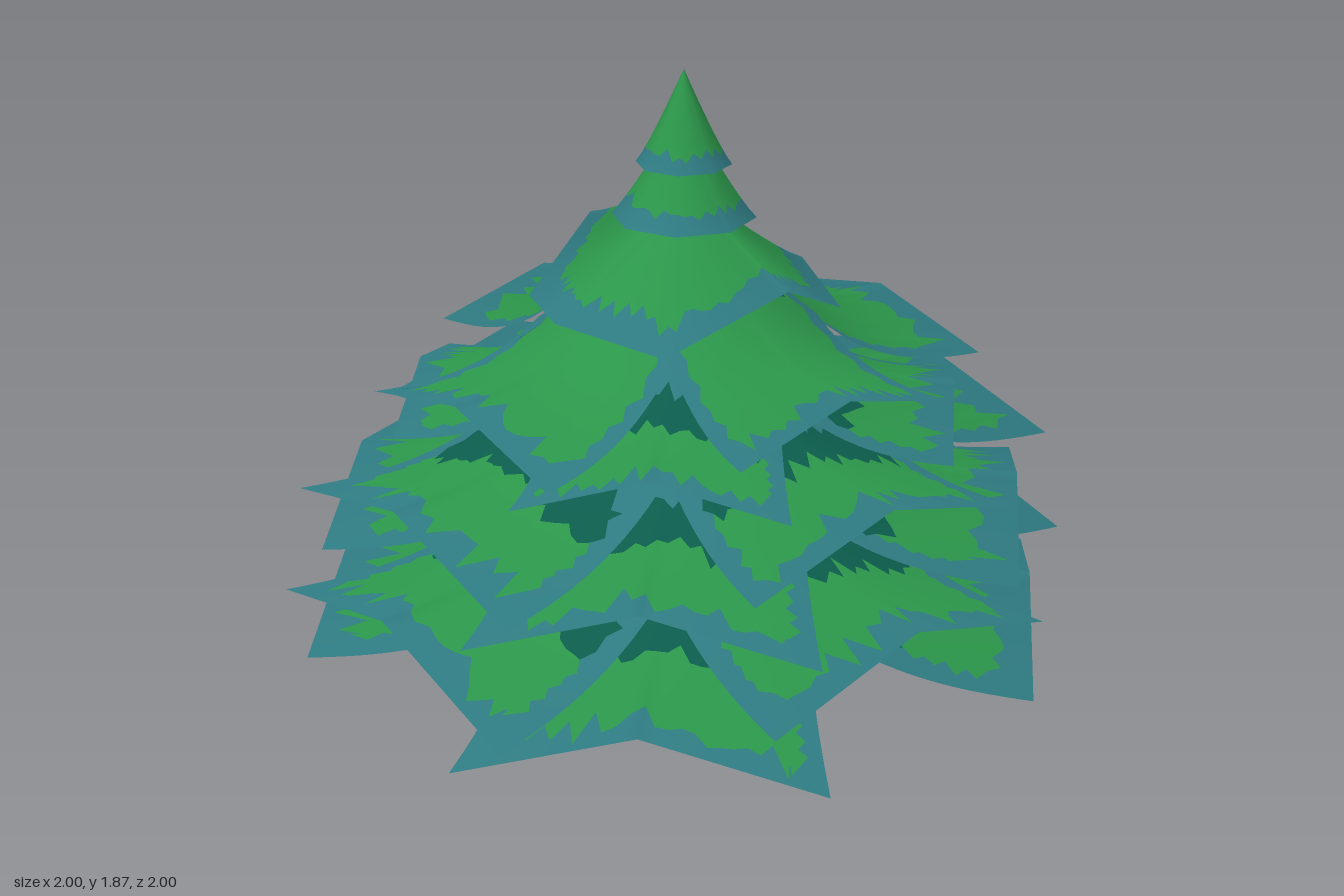
import * as THREE from 'three';

const paint = (name, color) => {
  const m = new THREE.MeshStandardMaterial({ color, side: THREE.DoubleSide });
  m.name = name;
  return m;
};
const GREEN = 0, TEAL = 1, DARK = 2;
const leafMaterials = [
  paint('needle green', 0x2b964a),
  paint('frosted teal', 0x2e7a81),
  paint('deep teal', 0x0b5c4c),
];
const bark = paint('bark brown', 0x64513d);

// Seeded random in -1..1
let seed = 7;
const rnd = () => {
  seed = (seed * 16807) % 2147483647;
  return (seed / 2147483647) * 2 - 1;
};

// Sag of a piece: exponents for the rise to the trunk and for the corner droop
const BOUGH = { rise: 2.6, droop: 6 };
const CAP = { rise: 1.15, droop: 1.15 };

// Colour bands from trunk to rim: [colour, end, jag, rows]
const BOUGH_BANDS = [
  [GREEN, 0.2, 0.015, 3], [DARK, 0.32, 0.015, 3], [TEAL, 0.48, 0.03, 3],
  [DARK, 0.63, 0.04, 3], [GREEN, 0.9, 0.06, 8], [TEAL, 1, 0, 2],
];
const UPPER_BANDS = [
  [TEAL, 0.2, 0.015, 3], [DARK, 0.32, 0.015, 3], [GREEN, 0.885, 0.055, 10], [TEAL, 1, 0, 2],
];
const CAP_BANDS = [[GREEN, 0.79, 0.06, 8], [TEAL, 1, 0, 2]];

// One folded bough pointing along +z, with jagged painted bands
function bough({ end, half, y, top, drop, bulge = 0, sag, bands, cols = 14, border = true }) {
  const rows = bands.reduce((n, b) => n + b[3], 0);
  const edge = Math.round(cols * 0.86);
  const pos = [], lists = [[], [], []];
  for (let i = -cols; i <= cols; i++) {
    // seam columns stay regular so neighbouring pieces meet
    const rough = Math.abs(i) === cols ? 0 : 1;
    const cuts = bands.map(([, e, jag]) => e + rough * jag * (0.4 * (i % 2 ? 1 : -1) + 0.9 * rnd()));
    let t0 = 0, row = 0;
    bands.forEach(([, , , n], b) => {
      for (let k = b ? 1 : 0; k <= n; k++, row++) {
        const t = t0 + (cuts[b] - t0) * k / n;
        let s = i / cols;
        // zigzag side border
        if (border && Math.abs(i) === edge) s += Math.sign(s) * 0.05 * ((row % 2 ? 0.6 : -0.6) + 0.5 * rnd());
        const f = 0.01 + 0.99 * t, a = Math.abs(s);
        const inner = Math.min(f, 0.38) * end;
        const w = f < 0.38 ? inner : inner + (half - inner) * (f - 0.38) / 0.62;
        pos.push(
          s * w,
          y + (top - y) * (1 - f) ** sag.rise - drop * a * (1 - (1 - f) ** sag.droop),
          f * (end + bulge * (1 - a)),
        );
      }
      t0 = cuts[b];
    });
  }
  const stride = rows + 1;
  for (let c = 0; c < 2 * cols; c++) {
    const side = border && (c < cols - edge || c >= cols + edge);
    let r = 0;
    for (const [colour, , , n] of bands) {
      for (let k = 0; k < n; k++, r++) {
        const a = c * stride + r, b = a + stride;
        lists[side ? TEAL : colour].push(a, a + 1, b, b, a + 1, b + 1);
      }
    }
  }
  const g = new THREE.BufferGeometry();
  g.setAttribute('position', new THREE.Float32BufferAttribute(pos, 3));
  g.setIndex(lists.flat());
  let start = 0;
  lists.forEach((l, m) => {
    if (l.length) g.addGroup(start, l.length, m);
    start += l.length;
  });
  g.computeVertexNormals();
  // turn the normals radially so that shading runs smoothly around the tree
  const { position: p, normal: nrm } = g.attributes;
  for (let i = 0; i < p.count; i++) {
    const k = Math.hypot(nrm.getX(i), nrm.getZ(i)) / Math.hypot(p.getX(i), p.getZ(i));
    nrm.setXYZ(i, k * p.getX(i), nrm.getY(i), k * p.getZ(i));
  }
  return g;
}

// Four boughs in a cross; zArm and xArm may differ in reach
function tier(name, zArm, xArm = zArm, turn = 0) {
  const group = new THREE.Group();
  group.name = name;
  for (let k = 0; k < 4; k++) {
    const mesh = new THREE.Mesh(bough(k % 2 ? xArm : zArm), leafMaterials);
    mesh.name = 'bough';
    mesh.rotation.y = k * Math.PI / 2 + turn;
    group.add(mesh);
  }
  return group;
}

const arm = (end, half, y, drop, bands = BOUGH_BANDS) =>
  ({ end, half, y, drop, top: y + 0.48, sag: BOUGH, bands });

// Octagonal cone ring made from four quarter pieces
const cap = (r, y, top, cols, drop = 0) => ({
  end: r * Math.SQRT1_2, half: r * Math.SQRT1_2, bulge: r * (1 - Math.SQRT1_2),
  y, top, drop, cols, sag: CAP, bands: CAP_BANDS, border: false,
});

export function createModel() {
  seed = 7;
  const tree = new THREE.Group();
  tree.name = 'pineTree';

  // Tapered six-sided trunk
  const trunk = new THREE.Mesh(new THREE.CylinderGeometry(0.072, 0.1, 1, 6), bark);
  trunk.name = 'trunk';
  trunk.rotation.y = Math.PI / 6;
  trunk.position.y = 0.5;
  tree.add(trunk);

  // Bough tiers, alternately straight and diagonal
  const diagonal = Math.PI / 4;
  tree.add(
    tier('lowestTier', arm(0.954, 0.46, 0.5, 0.13), undefined, diagonal),
    tier('secondTier', arm(0.96, 0.52, 0.62, 0.13), arm(0.92, 0.457, 0.66, 0.13)),
    tier('thirdTier', arm(0.9, 0.43, 0.8, 0.12), undefined, diagonal),
    tier('fourthTier', arm(0.91, 0.49, 0.91, 0.12), arm(0.815, 0.435, 0.95, 0.12)),
    tier('fifthTier', arm(0.72, 0.34, 1.06, 0.095), undefined, diagonal),
    tier('sixthTier', arm(0.72, 0.395, 1.14, 0.09, UPPER_BANDS), arm(0.65, 0.345, 1.18, 0.09, UPPER_BANDS)),
  );

  // Crown
  tree.add(
    tier('crownSkirt', cap(0.415, 1.285, 1.58, 12, 0.035), cap(0.415, 1.395, 1.58, 12, 0.145)),
    tier('crownRing', cap(0.19, 1.49, 1.78, 6)),
    tier('crownTip', cap(0.125, 1.63, 1.875, 4)),
  );
  return tree;
}
